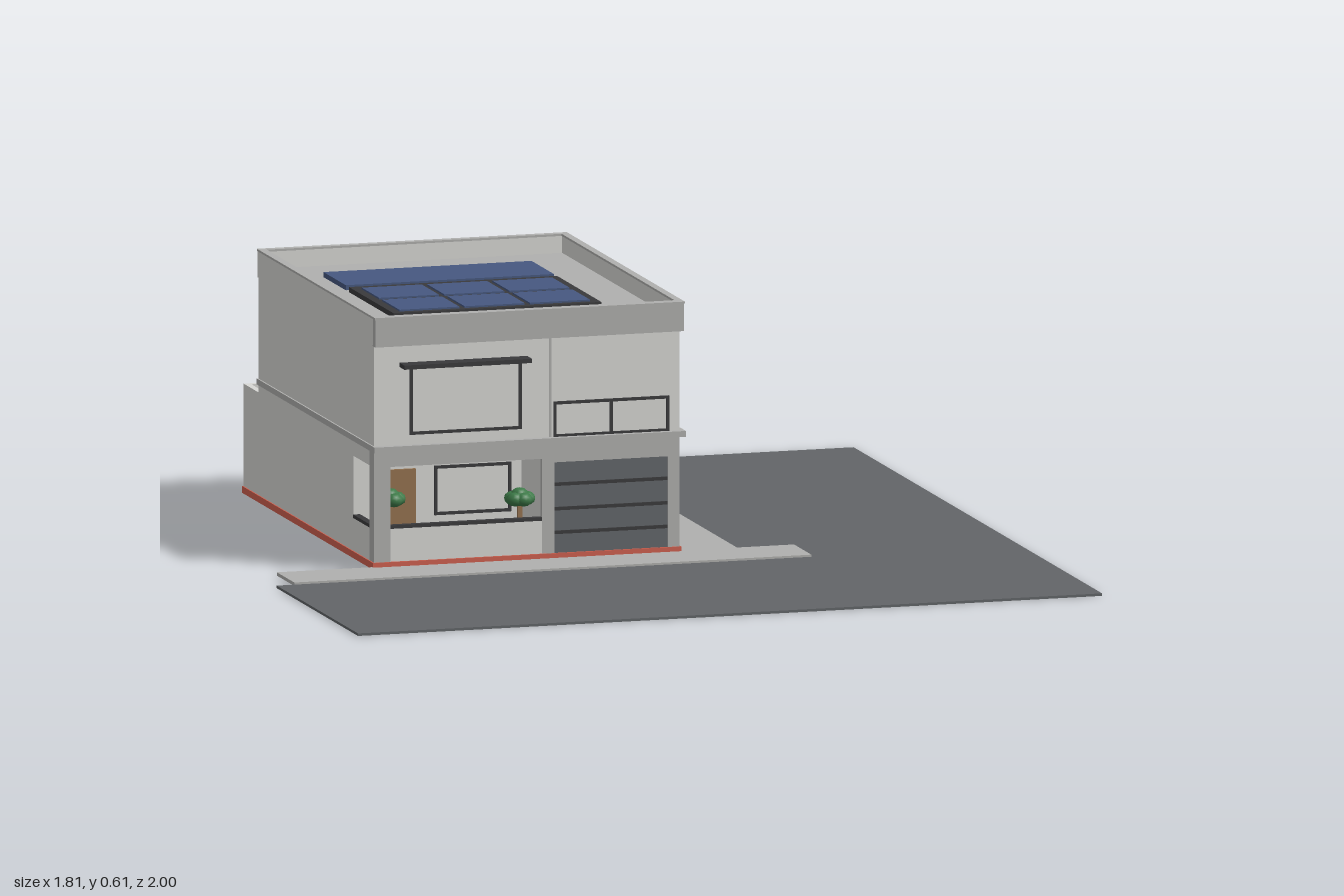
import * as THREE from 'three';

const mat = (name, color) => {
  const m = new THREE.MeshStandardMaterial({ color });
  m.name = name;
  return m;
};

export function createModel() {
  const white = mat('white plaster', 0xd8d8d5);
  const grey = mat('grey concrete', 0xb0b0ae);
  const asphalt = mat('asphalt', 0x626568);
  const dark = mat('dark metal', 0x3a3a3c);
  const door = mat('garage grey', 0x63676b);
  const wood = mat('wood', 0x96734f);
  const blue = mat('solar blue', 0x465880);
  const green = mat('foliage green', 0x3d7a48);
  const red = mat('red base', 0xd0604f);

  const root = new THREE.Group();
  root.name = 'house';

  // Box given by its limits on each axis
  const box = (name, m, x0, x1, y0, y1, z0, z1, parent = root) => {
    const b = new THREE.Mesh(new THREE.BoxGeometry(x1 - x0, y1 - y0, z1 - z0), m);
    b.position.set((x0 + x1) / 2, (y0 + y1) / 2, (z0 + z1) / 2);
    b.name = name;
    parent.add(b);
    return b;
  };
  // Flat slab from a plan outline of [x, z] points
  const slab = (name, m, pts, y, h, hole) => {
    const toShape = (p) => p.map(([x, z]) => new THREE.Vector2(x, -z));
    const s = new THREE.Shape(toShape(pts));
    if (hole) s.holes.push(new THREE.Path(toShape(hole)));
    const g = new THREE.ExtrudeGeometry(s, { depth: h, bevelEnabled: false });
    g.rotateX(-Math.PI / 2);
    const mesh = new THREE.Mesh(g, m);
    mesh.position.y = y;
    mesh.name = name;
    root.add(mesh);
  };

  // Ground: L-shaped road and pavement
  slab('road', asphalt, [[-0.908, 0.345], [0.256, 0.345], [0.256, -1], [0.905, -1], [0.905, 1], [-0.908, 1]], 0, 0.006);
  slab('pavement', grey, [[-0.865, 0.205], [0.118, 0.205], [0.118, -0.957], [0.256, -0.957], [0.256, 0.205],
    [0.395, 0.205], [0.395, 0.345], [-0.865, 0.345]], 0.003, 0.008);

  // Ground floor slab with a shaft, and the red base around it
  slab('floor', grey, [[-0.63, -0.84], [0.115, -0.84], [0.115, 0.21], [-0.63, 0.21]], 0.006, 0.014,
    [[-0.61, -0.59], [-0.34, -0.59], [-0.34, -0.45], [-0.61, -0.45]]);
  box('baseLeft', red, -0.633, -0.628, 0.006, 0.022, -0.843, 0.213);
  box('baseRight', red, 0.113, 0.118, 0.006, 0.022, -0.843, 0.213);
  box('baseBack', red, -0.63, 0.115, 0.006, 0.022, -0.843, -0.838);
  box('baseFront', red, -0.63, 0.115, 0.006, 0.022, 0.208, 0.213);

  // Ground floor walls; the rear rooms are open to the sky
  box('rightWall', white, 0.1, 0.115, 0.02, 0.285, -0.72, 0.175);
  box('leftWall', white, -0.63, -0.615, 0.02, 0.285, -0.72, 0.045);
  box('backWall', white, -0.63, 0.115, 0.02, 0.265, -0.84, -0.825);
  box('rightRearWall', white, 0.1, 0.115, 0.02, 0.265, -0.825, -0.72);
  box('leftRearWall', white, -0.63, -0.615, 0.02, 0.265, -0.825, -0.72);
  box('roomDivider', white, -0.213, -0.2, 0.02, 0.265, -0.825, -0.4);
  box('innerWall', white, -0.615, 0.1, 0.02, 0.285, -0.41, -0.4);

  // Porch at the front left corner
  box('porchBackWall', white, -0.63, -0.2, 0.02, 0.285, 0.03, 0.045);
  box('porchSideWall', white, -0.22, -0.2, 0.02, 0.285, 0.045, 0.195);
  box('porchLowWall', white, -0.59, -0.22, 0.02, 0.1, 0.195, 0.208);
  box('porchLowSide', white, -0.63, -0.615, 0.02, 0.1, 0.045, 0.175);
  box('porchColumn', grey, -0.63, -0.59, 0.02, 0.285, 0.175, 0.21);
  box('porchPost', grey, -0.22, -0.2, 0.02, 0.285, 0.195, 0.21);
  box('porchBeam', grey, -0.59, -0.22, 0.247, 0.285, 0.19, 0.21);
  box('porchSideBeam', white, -0.63, -0.615, 0.247, 0.285, 0.045, 0.175);
  box('railFront', dark, -0.59, -0.22, 0.1, 0.108, 0.194, 0.209);
  box('railSide', dark, -0.631, -0.614, 0.1, 0.108, 0.045, 0.175);
  box('frontDoor', wood, -0.566, -0.48, 0.02, 0.21, 0.045, 0.052);

  // Garage front
  box('garageHeader', grey, -0.2, 0.115, 0.237, 0.285, 0.175, 0.21);
  box('garageLeftPier', grey, -0.2, -0.19, 0.02, 0.237, 0.175, 0.21);
  box('garageRightPier', grey, 0.087, 0.115, 0.02, 0.237, 0.175, 0.21);
  box('garageDoor', door, -0.19, 0.087, 0.02, 0.237, 0.19, 0.203);
  for (const y of [0.07, 0.126, 0.184]) box('garageDoorGroove', dark, -0.19, 0.087, y - 0.004, y + 0.004, 0.2, 0.206);

  // Upper floor, ledge, parapet and roof
  box('upperFloor', white, -0.63, 0.115, 0.285, 0.555, -0.72, 0.21);
  box('ledge', grey, -0.634, 0.125, 0.284, 0.298, -0.722, 0.228);
  box('facadeJoint', grey, -0.202, -0.198, 0.298, 0.535, 0.208, 0.212);
  box('roofDeck', grey, -0.615, 0.105, 0.553, 0.56, -0.705, 0.21);
  box('parapetLeft', white, -0.632, -0.615, 0.538, 0.6, -0.722, 0.21);
  box('parapetRight', white, 0.105, 0.12, 0.538, 0.6, -0.722, 0.21);
  box('parapetBack', white, -0.632, 0.12, 0.538, 0.6, -0.722, -0.705);
  box('parapetFront', grey, -0.632, 0.12, 0.535, 0.6, 0.205, 0.228);
  box('copingLeft', grey, -0.633, -0.614, 0.6, 0.605, -0.723, 0.229);
  box('copingRight', grey, 0.104, 0.122, 0.6, 0.605, -0.723, 0.229);
  box('copingBack', grey, -0.614, 0.104, 0.6, 0.605, -0.723, -0.704);
  box('copingFront', grey, -0.614, 0.104, 0.6, 0.605, 0.204, 0.229);

  // Solar panels
  box('plainPanel', blue, -0.52, -0.013, 0.56, 0.572, -0.56, -0.38);
  box('panelFrame', dark, -0.52, -0.013, 0.56, 0.572, -0.355, 0.002);
  for (let i = 0; i < 3; i++) {
    for (const z of [-0.318, -0.154]) {
      const x = -0.5 + i * 0.159;
      box('solarCell', blue, x, x + 0.146, 0.57, 0.576, z, z + 0.14);
    }
  }

  // Window frame: centre and size on a wall, turned to face outward
  const windowFrame = (name, x, y, z, w, h, turn, mullions = []) => {
    const g = new THREE.Group();
    const t = 0.007, d = 0.004;
    for (const s of [-1, 1]) {
      box('frameSide', dark, s * w / 2 - t / 2, s * w / 2 + t / 2, -h / 2, h / 2, -d, d, g);
      box('frameRail', dark, -w / 2 - t / 2, w / 2 + t / 2, s * h / 2 - t / 2, s * h / 2 + t / 2, -d, d, g);
    }
    for (const m of mullions) box('mullion', dark, m * w - t / 2, m * w + t / 2, -h / 2, h / 2, -d, d, g);
    g.position.set(x, y, z);
    g.rotation.y = turn;
    g.name = name;
    root.add(g);
  };
  windowFrame('frontLargeWindow', -0.407, 0.402, 0.21, 0.265, 0.155, 0);
  windowFrame('frontWideWindow', -0.052, 0.339, 0.21, 0.275, 0.078, 0, [0]);
  windowFrame('porchWindow', -0.34, 0.155, 0.046, 0.18, 0.11, 0);
  const R = Math.PI / 2;
  windowFrame('sideWindowFront', 0.115, 0.182, -0.003, 0.195, 0.083, R);
  windowFrame('sideWindowMiddle', 0.115, 0.155, -0.435, 0.148, 0.118, R);
  windowFrame('sideWindowRear', 0.115, 0.165, -0.675, 0.158, 0.09, R, [0.15]);
  windowFrame('upperSideWindowFront', 0.115, 0.432, -0.07, 0.108, 0.088, R);
  windowFrame('upperSideWindowRear', 0.115, 0.415, -0.547, 0.152, 0.13, R);
  windowFrame('backWindow', -0.415, 0.14, -0.84, 0.185, 0.105, Math.PI);
  windowFrame('upperBackWindowLeft', -0.06, 0.4, -0.72, 0.148, 0.145, Math.PI);
  windowFrame('upperBackWindowRight', -0.435, 0.4, -0.72, 0.148, 0.145, Math.PI);

  // Awnings
  box('frontAwning', dark, -0.568, -0.257, 0.483, 0.493, 0.21, 0.25);
  box('upperSideAwning', dark, 0.115, 0.152, 0.482, 0.492, -0.647, -0.452);
  box('lowerSideAwning', dark, 0.115, 0.152, 0.215, 0.225, -0.53, -0.338);

  // Wooden slat screens
  for (let i = 0; i < 6; i++) box('lowerSlat', wood, 0.115, 0.127, 0.025, 0.25, -0.132 - i * 0.0195, -0.125 - i * 0.0195);
  for (let i = 0; i < 8; i++) box('upperSlat', wood, 0.115, 0.127, 0.3, 0.512, 0.03 - i * 0.0187, 0.037 - i * 0.0187);

  // Furniture in the rear rooms
  const bed = (x0, x1, pillows) => {
    box('bedFrame', dark, x0, x1, 0.02, 0.05, -0.815, -0.56);
    box('mattress', grey, x0 + 0.006, x1 - 0.006, 0.05, 0.07, -0.809, -0.566);
    const w = (x1 - x0 - 0.02) / pillows;
    for (let i = 0; i < pillows; i++) {
      box('pillow', white, x0 + 0.013 + i * w, x0 + 0.007 + (i + 1) * w, 0.07, 0.082, -0.805, -0.765);
    }
  };
  bed(-0.605, -0.48, 1);
  bed(-0.2, -0.035, 2);
  box('nightstand', wood, -0.47, -0.428, 0.02, 0.08, -0.815, -0.77);
  box('wardrobe', wood, -0.272, -0.215, 0.02, 0.21, -0.815, -0.69);

  // Small trees: clustered foliage on a thin trunk
  const tree = (x, y, z, r) => {
    const g = new THREE.Group();
    g.name = 'tree';
    box('trunk', wood, -0.005, 0.005, 0.02 - y, 0, -0.005, 0.005, g);
    for (let i = 0; i < 6; i++) {
      const a = i * Math.PI / 2.5, k = i < 5 ? 0.45 * r : 0;
      const leaf = new THREE.Mesh(new THREE.IcosahedronGeometry(r * 0.6, 1), green);
      leaf.position.set(Math.cos(a) * k, i < 5 ? 0 : r * 0.25, Math.sin(a) * k);
      leaf.scale.y = 0.8;
      leaf.name = 'foliage';
      g.add(leaf);
    }
    g.position.set(x, y, z);
    root.add(g);
  };
  tree(-0.565, 0.155, 0.125, 0.036);
  tree(-0.257, 0.145, 0.15, 0.036);
  tree(0.05, 0.17, -0.782, 0.046);

  return root;
}
